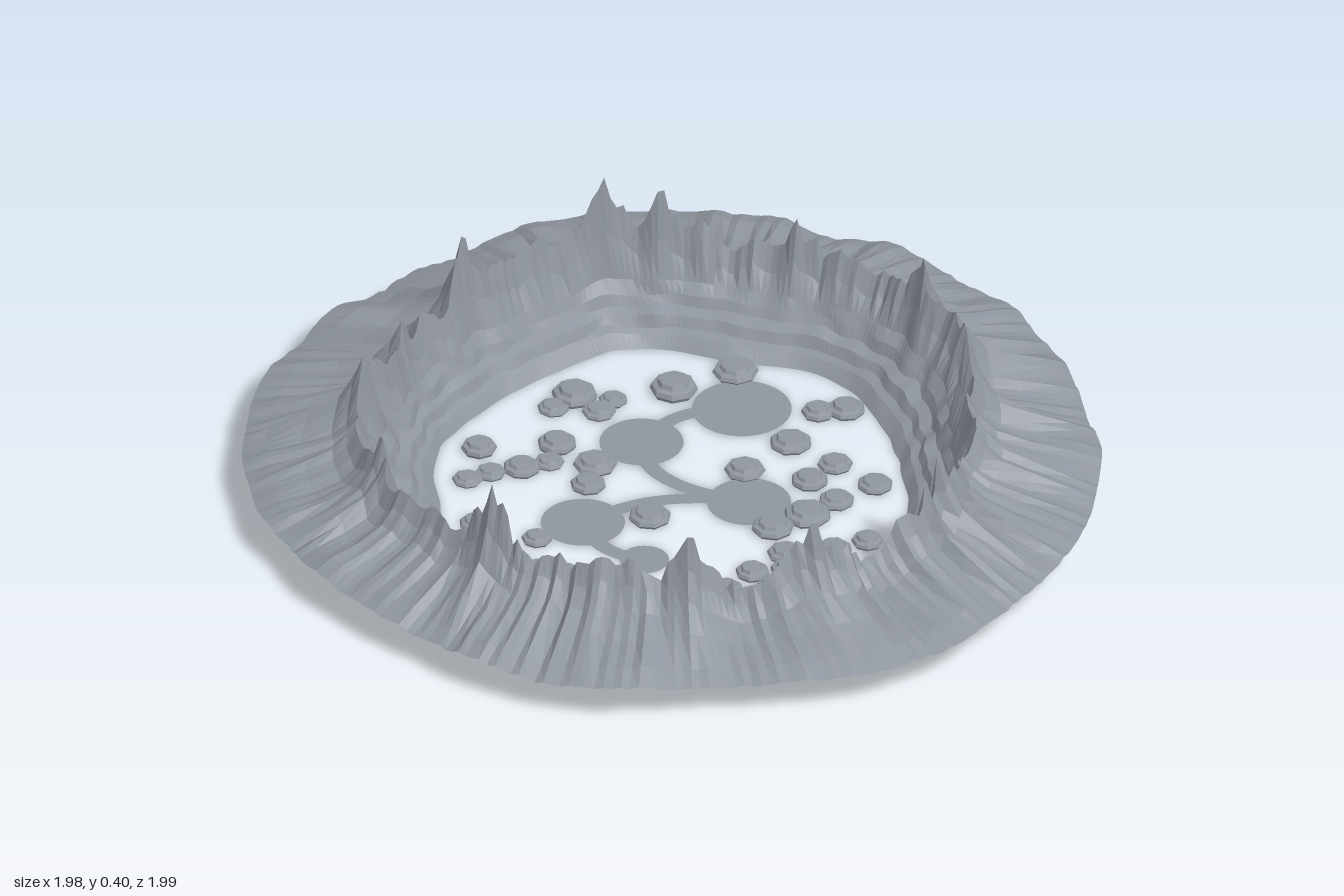
import * as THREE from 'three';

// Outline radii every 22.5 degrees, from +x towards +z
const FLOOR = [.555, .575, .565, .53, .525, .55, .565, .54, .56, .54, .55, .585, .54, .58, .55, .53];
const CREST = [.70, .73, .74, .72, .72, .71, .72, .73, .69, .67, .70, .73, .715, .74, .73, .69];
const OUTER = [.995, 1.0, 1.025, .965, .99, .95, .955, .985, .995, .975, .96, 1.0, .99, .995, .98, .975];

// Peaks of the crest: x, z, height, angular half-width
const PEAKS = [
  [-.25, .64, .4, .13], [.64, -.25, .39, .08], [-.32, -.64, .38, .11], [-.59, -.36, .37, .12],
  [.2, .64, .35, .11], [.44, .52, .35, .13], [.7, .2, .35, .07], [-.73, .13, .35, .09],
  [-.2, -.69, .35, .08], [.43, -.56, .33, .1], [.12, -.7, .31, .1], [.65, .28, .32, .08],
  [.08, .7, .29, .07], [-.6, .41, .31, .1], [-.69, -.1, .29, .1], [-.45, -.54, .28, .08],
];

// Boulders: x, z, radius
const BOULDERS = [
  [.025, -.495, .054], [-.095, -.39, .056], [-.22, -.315, .034], [-.31, -.31, .054], [-.345, -.25, .038],
  [-.24, -.26, .04], [.31, -.405, .045], [.25, -.38, .04], [.22, -.24, .05], [.34, -.18, .042],
  [.3, -.1, .044], [.38, -.035, .042], [.45, -.12, .042], [.49, .11, .038], [.425, .17, .044],
  [.33, .04, .056], [.265, .11, .05], [.32, .205, .044], [.35, .27, .05], [.265, .3, .04],
  [.33, .35, .044], [.22, .39, .046], [.29, .41, .044], [.145, -.105, .048], [-.02, .135, .05],
  [-.3, -.105, .046], [-.3, -.03, .036], [-.355, .01, .044], [-.42, .045, .036], [-.47, -.045, .042],
  [-.465, .085, .036], [-.195, -.045, .052], [-.19, .04, .042], [-.4, .26, .04], [-.25, .285, .036],
  [-.28, .38, .036], [-.215, .42, .046], [-.15, .42, .046], [-.08, .41, .046], [-.055, .49, .04],
];

// Flat pads: x, z, radius
const PADS = [[.075, -.355, .115], [-.115, -.165, .097], [.185, .015, .097], [-.165, .19, .097], [.01, .305, .057]];

// Curved walkways joining the pads: start, control, end
const PATHS = [
  [.03, -.34, -.08, -.31, -.1, -.2],
  [-.1, -.12, -.04, .01, .17, .01],
  [.17, .01, -.06, .03, -.14, .17],
  [-.14, .22, -.1, .3, .01, .305],
];

const TAU = Math.PI * 2;

function seeded(seed) {
  return () => {
    seed = (seed * 1664525 + 1013904223) % 4294967296;
    return seed / 4294967296;
  };
}

// Smooth closed curve through evenly spaced values
function sampleRing(values, angle) {
  const n = values.length, t = ((angle / TAU) % 1 + 1) % 1 * n;
  const i = Math.floor(t), f = t - i, v = (k) => values[(i + k + n) % n];
  const a = v(-1), b = v(0), c = v(1), d = v(2);
  return b + .5 * f * (c - a + f * (2 * a - 5 * b + 4 * c - d + f * (3 * (b - c) + d - a)));
}

// Closed noise, 0 to 1, with a given number of bumps around the ring
function ringNoise(bumps, seed) {
  const rand = seeded(seed), values = Array.from({ length: bumps }, rand);
  return (angle) => sampleRing(values, angle);
}

function craterGeometry() {
  const N = 300;
  const coarse = ringNoise(38, 7), fine = ringNoise(110, 21), grit = ringNoise(N, 5);
  const ledge = ringNoise(70, 33), ledge2 = ringNoise(90, 87), rim = ringNoise(48, 12), wobble = ringNoise(80, 64);
  const positions = [], index = [];
  let rows = 0;
  for (let i = 0; i < N; i++) {
    const a = i / N * TAU;
    const inner = sampleRing(FLOOR, a) + (ledge(a) - .5) * .008;
    const crest = sampleRing(CREST, a) + (wobble(a) - .5) * .03;
    const outer = sampleRing(OUTER, a) + (rim(a) - .5) * .018;
    const edge = .095 + (rim(a) - .5) * .025;

    // Jagged crest height: noise plus the named peaks
    let top = .165 + .06 * coarse(a) + .05 * fine(a) + .025 * grit(a);
    for (const [x, z, h, width] of PEAKS) {
      let d = Math.abs(a - (Math.atan2(z, x) + TAU) % TAU);
      d = Math.min(d, TAU - d);
      const chip = d > .015 ? .06 * grit(a) : 0;
      top = Math.max(top, .18 + (h - .18) * Math.exp(-Math.pow(d / width, 1.4)) - chip);
    }
    const l = (ledge(a) - .5) * .025, m = (ledge2(a) - .5) * .025;
    const groove = (fine(a) + grit(a) - 1) * .02;
    const span = crest - inner, slope = outer - crest, rise = top - .1;
    // Profile from the floor edge, over terraces and crest, down to the outer edge
    const profile = [
      [inner, 0],
      [inner + span * .16, .03 + l * .4],
      [inner + span * .28 + l * .5, .038 + l * .4],
      [inner + span * .36 + l * .5, .06 + m * .4],
      [inner + span * .52 + m * .5, .07 + m * .5],
      [inner + span * .59 + m * .5, .094 + l * .5],
      [crest - span * .28 + l * .5, .108 + rise * .07],
      [crest - span * .13, .1 + rise * .52 + groove],
      [crest, top],
      [crest + slope * .09, .11 + rise * .62 + groove],
      [crest + slope * .22, .118 + rise * .32 + groove],
      [crest + slope * .48, .118 + rise * .14 + groove],
      [crest + slope * .8, edge + .02 + groove * .7],
      [outer, edge + groove * .4],
    ];
    rows = profile.length;
    for (const [r, y] of profile) positions.push(r * Math.cos(a), y, r * Math.sin(a));
  }
  for (let i = 0; i < N; i++) {
    for (let j = 0; j < rows - 1; j++) {
      const p = i * rows + j, q = ((i + 1) % N) * rows + j;
      index.push(p, q, p + 1, q, q + 1, p + 1);
    }
  }
  const geometry = new THREE.BufferGeometry();
  geometry.setAttribute('position', new THREE.Float32BufferAttribute(positions, 3));
  geometry.setIndex(index);
  geometry.computeVertexNormals();
  return geometry;
}

// Flat ribbon along a curve on the floor
function ribbonGeometry([x0, z0, cx, cz, x1, z1], width) {
  const curve = new THREE.QuadraticBezierCurve(
    new THREE.Vector2(x0, -z0), new THREE.Vector2(cx, -cz), new THREE.Vector2(x1, -z1));
  const left = [], right = [];
  for (let i = 0; i <= 16; i++) {
    const p = curve.getPoint(i / 16), t = curve.getTangent(i / 16);
    const side = new THREE.Vector2(-t.y, t.x).multiplyScalar(width / 2);
    left.push(p.clone().add(side));
    right.unshift(p.clone().sub(side));
  }
  return new THREE.ShapeGeometry(new THREE.Shape([...left, ...right])).rotateX(-Math.PI / 2);
}

export function createModel() {
  const model = new THREE.Group();
  model.name = 'crater';
  const stone = new THREE.MeshStandardMaterial({ color: 0x8f959e, flatShading: true, side: THREE.DoubleSide });
  stone.name = 'grey stone';

  const add = (name, geometry, parent = model) => {
    const mesh = new THREE.Mesh(geometry, stone);
    mesh.name = name;
    parent.add(mesh);
    return mesh;
  };
  const addGroup = (name) => {
    const group = new THREE.Group();
    group.name = name;
    model.add(group);
    return group;
  };

  add('craterWall', craterGeometry());

  // Pads and walkways on the floor
  const floor = addGroup('floorPads');
  for (const [x, z, r] of PADS) {
    add('pad', new THREE.CircleGeometry(r, 40).rotateX(-Math.PI / 2), floor).position.set(x, .003, z);
  }
  for (const path of PATHS) add('walkway', ribbonGeometry(path, .04), floor).position.y = .001;

  // Low, flat-topped faceted boulders
  const boulders = addGroup('boulders');
  const profile = [[0, 0], [.9, 0], [1, .16], [.92, .34], [.7, .4], [.62, .56], [0, .58]]
    .map(([r, y]) => new THREE.Vector2(r, y));
  const boulder = new THREE.LatheGeometry(profile, 8);
  const rand = seeded(3);
  for (const [x, z, r] of BOULDERS) {
    const mesh = add('boulder', boulder, boulders);
    mesh.position.set(x, 0, z);
    mesh.scale.set(r, r * (.85 + .3 * rand()), r);
    mesh.rotation.y = rand() * TAU;
  }
  return model;
}
